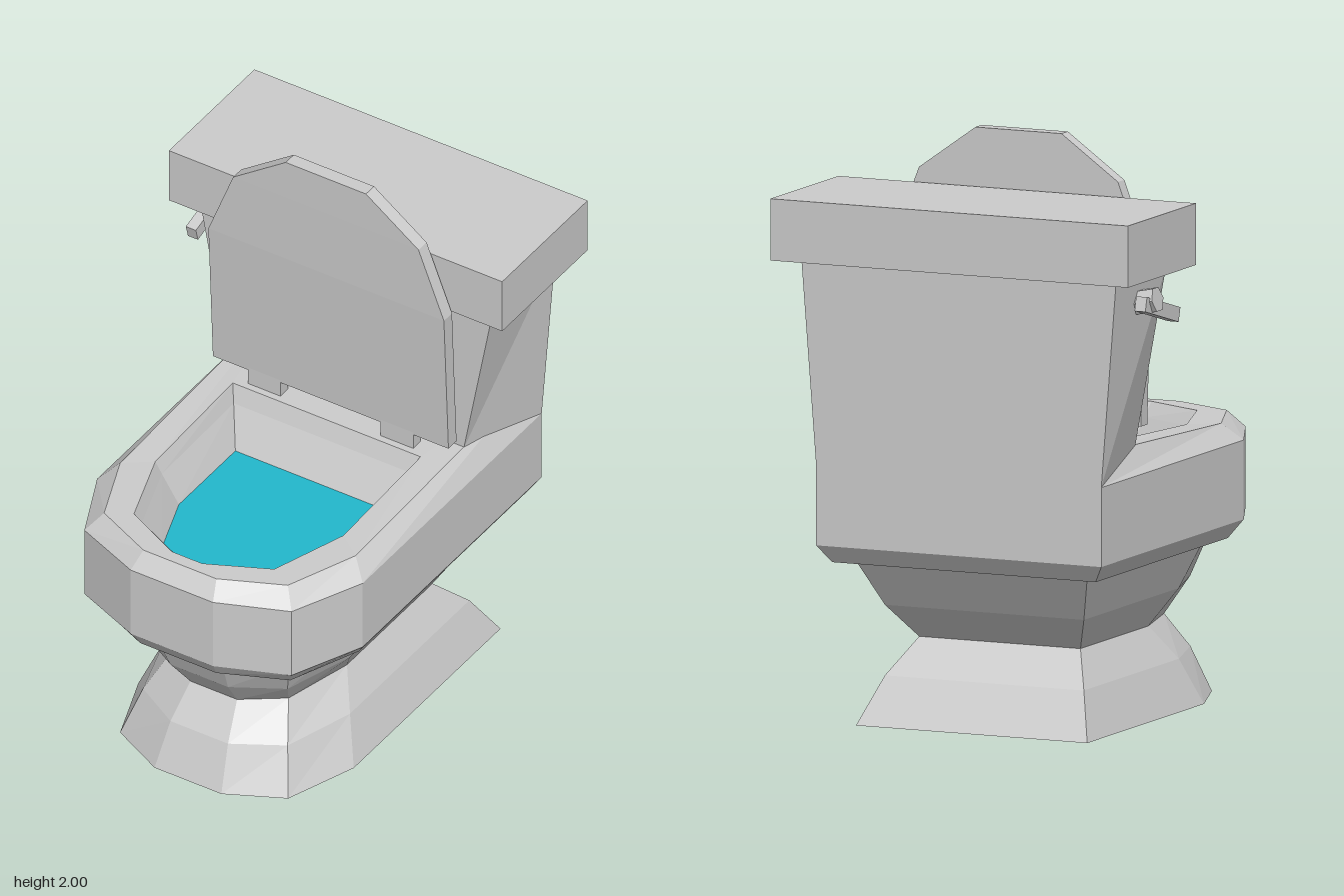
import * as THREE from 'three';

const white = new THREE.MeshStandardMaterial({ color: 0xcccccc, flatShading: true, side: THREE.DoubleSide });
const blue = new THREE.MeshStandardMaterial({ color: 0x22b8cc, flatShading: true, side: THREE.DoubleSide });

// Joins rings of equal point count into a faceted skin, with optional end caps
function loft(rings, capBottom, capTop) {
  const pos = [];
  const tri = (a, b, c) => pos.push(...a, ...b, ...c);
  const n = rings[0].length;
  for (let k = 0; k < rings.length - 1; k++) {
    const lo = rings[k], hi = rings[k + 1];
    for (let i = 0; i < n; i++) {
      const j = (i + 1) % n;
      tri(lo[i], hi[i], lo[j]);
      tri(lo[j], hi[i], hi[j]);
    }
  }
  const first = rings[0], last = rings[rings.length - 1];
  for (let i = 1; i < n - 1; i++) {
    if (capBottom) tri(first[0], first[i], first[i + 1]);
    if (capTop) tri(last[0], last[i + 1], last[i]);
  }
  const g = new THREE.BufferGeometry();
  g.setAttribute('position', new THREE.Float32BufferAttribute(pos, 3));
  g.computeVertexNormals();
  return g;
}

// Mirrors a half outline (x > 0, back to front) into a closed ring
const mirrorRing = (half) => [...half, ...half.map(([x, y, z]) => [-x, y, z]).reverse()];

// Square-backed outline with a faceted round front
const bowlRing = (y, w, back, front, backY = y) => mirrorRing([
  [w, backY, back], [w, y, front - 0.36], [w * 0.78, y, front - 0.1], [w * 0.31, y, front],
]);

const slab = (y, w, back, front) => mirrorRing([[w, y, back], [w, y, front]]);

export function createModel() {
  const model = new THREE.Group();
  const add = (name, geometry, material = white, parent = model) => {
    const mesh = new THREE.Mesh(geometry, material);
    mesh.name = name;
    parent.add(mesh);
    return mesh;
  };

  // Waisted foot
  const neck = bowlRing(0.56, 0.43, -0.6, 0.67);
  add('pedestal', loft([
    bowlRing(0, 0.43, -0.6, 0.67),
    bowlRing(0.16, 0.37, -0.5, 0.6),
    bowlRing(0.28, 0.3, -0.38, 0.51),
    bowlRing(0.4, 0.37, -0.5, 0.6),
    neck,
  ], true, false));

  // Bowl: outer wall, rim and hollow inside
  const waterRing = mirrorRing([[0.3, 0.78, -0.09], [0.3, 0.78, 0.26], [0.22, 0.78, 0.49], [0.02, 0.78, 0.585]]);
  add('bowl', loft([
    neck,
    bowlRing(0.56, 0.49, -0.66, 0.73),
    bowlRing(0.62, 0.53, -0.7, 0.77),
    bowlRing(0.89, 0.53, -0.7, 0.77),
    bowlRing(0.95, 0.47, -0.7, 0.72, 0.99),
    mirrorRing([[0.375, 0.972, -0.19], [0.375, 0.95, 0.29], [0.28, 0.95, 0.57], [0.06, 0.95, 0.675]]),
    mirrorRing([[0.355, 0.91, -0.165], [0.355, 0.9, 0.28], [0.265, 0.9, 0.545], [0.05, 0.9, 0.64]]),
    waterRing,
  ], false, false));
  add('water', loft([waterRing], false, true), blue);

  // Tank, flaring upwards, with its overhanging cover
  add('tank', loft([
    mirrorRing([[0.53, 0.89, -0.7], [0.47, 0.97, -0.31]]),
    slab(1.59, 0.585, -0.7, -0.31),
  ], true, true));
  const cover = add('tankCover', new THREE.BoxGeometry(1.33, 0.21, 0.53));
  cover.position.set(0, 1.695, -0.51);

  // Raised lid, leaning slightly below its shoulders
  add('lid', loft([
    slab(1.03, 0.47, -0.265, -0.215),
    slab(1.59, 0.47, -0.237, -0.187),
    slab(1.85, 0.37, -0.235, -0.185),
    slab(2.0, 0.16, -0.235, -0.185),
  ], true, true));

  for (const side of [-1, 1]) {
    const hinge = add(side > 0 ? 'leftHinge' : 'rightHinge', new THREE.BoxGeometry(0.13, 0.08, 0.045));
    hinge.position.set(side * 0.265, 1.0, -0.237);
  }

  // Flush handle on the right side of the tank
  const handle = new THREE.Group();
  handle.name = 'flushHandle';
  model.add(handle);
  const stem = add('handleStem', new THREE.CylinderGeometry(0.045, 0.045, 0.09, 6), white, handle);
  stem.rotation.z = Math.PI / 2 - 0.2;
  stem.position.set(-0.6, 1.5, -0.5);
  const lever = add('handleLever', new THREE.BoxGeometry(0.04, 0.05, 0.27), white, handle);
  lever.rotation.x = 0.27;
  lever.position.set(-0.615, 1.465, -0.44);

  return model;
}
